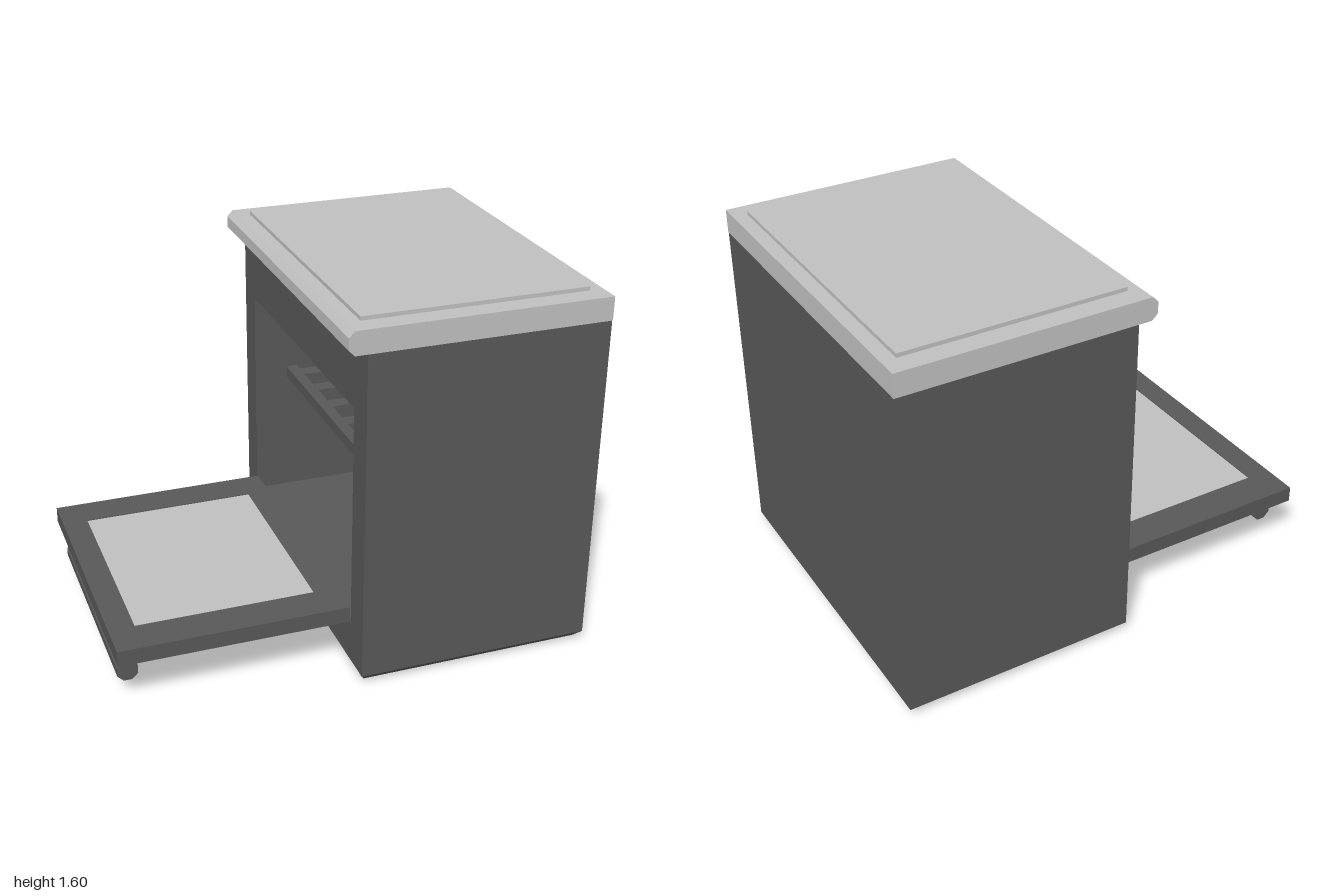
import * as THREE from 'three';

const bodyGrey = new THREE.MeshStandardMaterial({ color: 0x585858 });
bodyGrey.name = 'dark grey enamel';
const paleGrey = new THREE.MeshStandardMaterial({ color: 0xc0c0c0 });
paleGrey.name = 'pale grey';

function add(parent, name, geometry, material, x = 0, y = 0, z = 0) {
  const mesh = new THREE.Mesh(geometry, material);
  mesh.name = name;
  mesh.position.set(x, y, z);
  parent.add(mesh);
  return mesh;
}

// Box given by its lower and upper corners
function box(parent, name, material, [x0, y0, z0], [x1, y1, z1]) {
  return add(parent, name, new THREE.BoxGeometry(x1 - x0, y1 - y0, z1 - z0), material,
    (x0 + x1) / 2, (y0 + y1) / 2, (z0 + z1) / 2);
}

const corners = (x0, y0, x1, y1) =>
  [[x0, y0], [x1, y0], [x1, y1], [x0, y1]].map(([x, y]) => new THREE.Vector2(x, y));

// Rectangular frame extruded along z
function frame(outer, inner, depth) {
  const shape = new THREE.Shape(corners(...outer));
  shape.holes.push(new THREE.Path(corners(...inner)));
  return new THREE.ExtrudeGeometry(shape, { depth, bevelEnabled: false });
}

export function createModel() {
  const oven = new THREE.Group();
  oven.name = 'oven';

  // Hollow body, open towards -x, with a closed back
  const shell = frame([-0.765, 0.04, 0.765, 1.48], [-0.63, 0.22, 0.63, 1.2], 0.92);
  shell.rotateY(Math.PI / 2);
  add(oven, 'bodyShell', shell, bodyGrey, -0.02);
  box(oven, 'bodyBack', bodyGrey, [0.9, 0.04, -0.765], [1, 1.48, 0.765]);

  // Foot of the body, tapered inwards at the floor
  const foot = new THREE.BoxGeometry(1.02, 0.04, 1.53);
  const p = foot.attributes.position;
  for (let i = 0; i < p.count; i++) {
    if (p.getY(i) < 0) {
      p.setX(i, p.getX(i) - Math.sign(p.getX(i)) * 0.025);
      p.setZ(i, p.getZ(i) - Math.sign(p.getZ(i)) * 0.04);
    }
  }
  add(oven, 'bodyFoot', foot.toNonIndexed(), bodyGrey, 0.49, 0.02, 0).geometry.computeVertexNormals();

  // Worktop with a chamfered overhanging edge
  const profile = new THREE.Shape([
    [1, 1.48], [1, 1.58], [-0.075, 1.58], [-0.1, 1.555], [-0.1, 1.505], [-0.075, 1.48],
  ].map(([x, y]) => new THREE.Vector2(x, y)));
  const worktop = new THREE.ExtrudeGeometry(profile, { depth: 1.54, bevelEnabled: false });
  add(oven, 'worktop', worktop, paleGrey, 0, 0, -0.77);
  box(oven, 'hob', paleGrey, [-0.02, 1.58, -0.68], [0.94, 1.597, 0.68]);

  // Rack inside the cavity
  const rack = new THREE.Group();
  rack.name = 'rack';
  oven.add(rack);
  for (const x of [0.13, 0.84]) {
    box(rack, 'rackRail', bodyGrey, [x, 0.79, -0.63], [x + 0.05, 0.84, 0.63]);
  }
  for (let i = -3; i <= 3; i++) {
    const z = i * 0.19;
    box(rack, 'rackSlat', bodyGrey, [0.15, 0.8, z - 0.035], [0.88, 0.83, z + 0.035]);
  }

  // Open door lying flat, with a window
  const door = new THREE.Group();
  door.name = 'door';
  oven.add(door);
  const doorFrame = frame([-1, -0.62, -0.02, 0.62], [-0.89, -0.46, -0.12, 0.46], 0.07);
  doorFrame.rotateX(Math.PI / 2);
  add(door, 'doorFrame', doorFrame, bodyGrey, 0, 0.29, 0);
  box(door, 'doorWindow', paleGrey, [-0.89, 0.225, -0.46], [-0.12, 0.286, 0.46]);

  // Octagonal handle on two posts below the door
  const bar = new THREE.CylinderGeometry(0.047, 0.047, 1.02, 8).toNonIndexed();
  bar.rotateX(Math.PI / 2);
  bar.rotateZ(Math.PI / 8);
  bar.computeVertexNormals();
  add(door, 'handleBar', bar, bodyGrey, -0.94, 0.115, 0);
  for (const side of [-1, 1]) {
    const z = side * 0.41;
    box(door, 'handlePost', bodyGrey, [-0.972, 0.12, z - 0.035], [-0.908, 0.22, z + 0.035]);
  }

  return oven;
}
